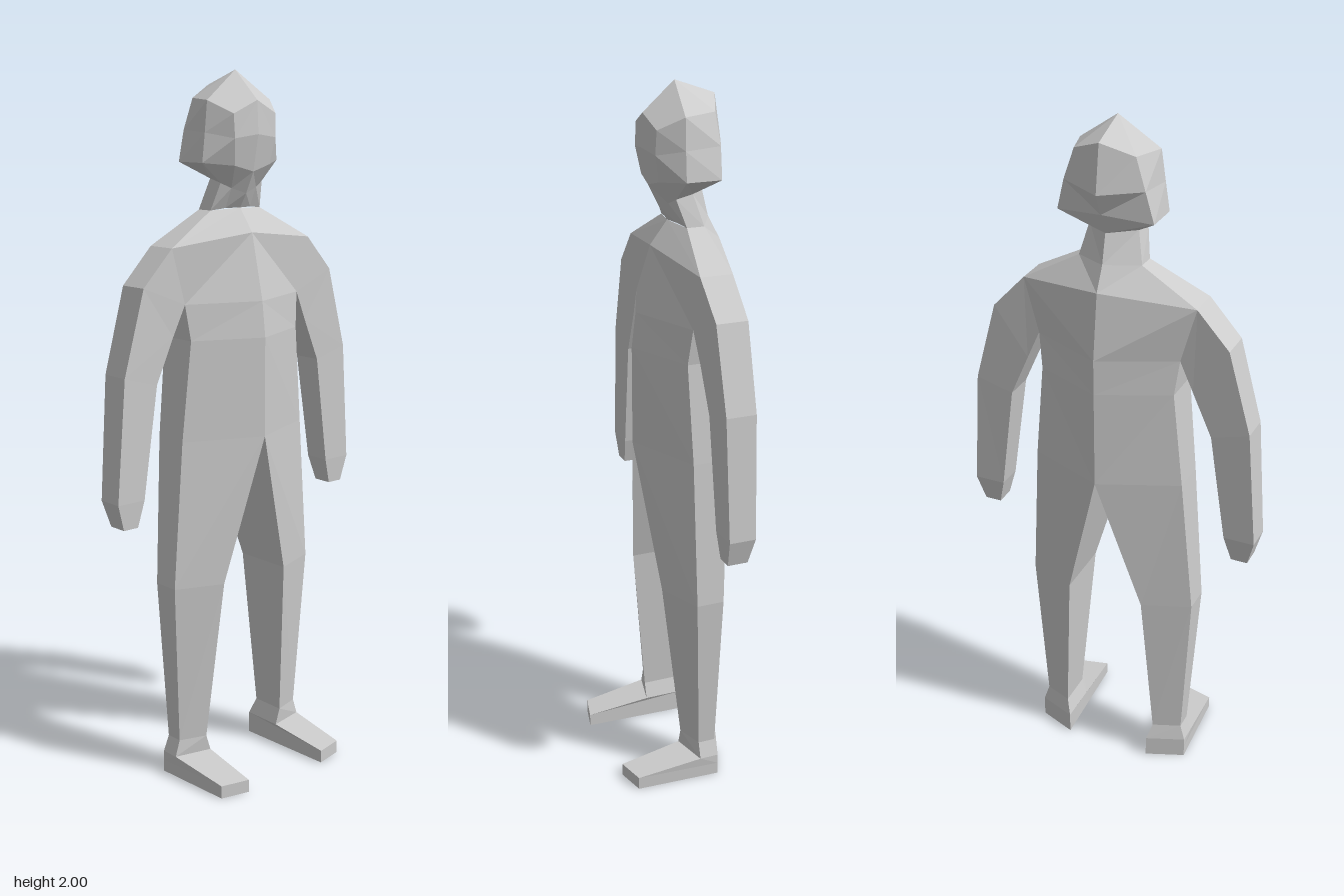
import * as THREE from 'three';

const material = new THREE.MeshStandardMaterial({ color: 0xcccccc, flatShading: true });

// Skins rings of [x, y, z] from top to bottom. side = -1 mirrors the part across x.
// Open rings run from the front centre line round +x to the back centre line.
function skin(name, rings, { side = 1, closed = false, cap = false, skip = () => false } = {}) {
  const pos = [];
  const same = (p, q) => p.every((v, k) => Math.abs(v - q[k]) < 1e-6);
  const tri = (a, b, c) => {
    if (same(a, b) || same(b, c) || same(a, c)) return;
    for (const p of side > 0 ? [a, b, c] : [a, c, b]) pos.push(p[0] * side, p[1], p[2]);
  };
  for (let r = 0; r < rings.length - 1; r++) {
    const a = rings[r], b = rings[r + 1], n = a.length;
    for (let i = 0; i < (closed ? n : n - 1); i++) {
      if (skip(r, i)) continue;
      const j = (i + 1) % n;
      tri(a[i], b[i], b[j]);
      tri(a[i], b[j], a[j]);
    }
  }
  if (cap) {
    const e = rings[rings.length - 1];
    for (let i = 1; i < e.length - 1; i++) tri(e[0], e[i + 1], e[i]);
  }
  const geometry = new THREE.BufferGeometry();
  geometry.setAttribute('position', new THREE.Float32BufferAttribute(pos, 3));
  geometry.computeVertexNormals();
  const mesh = new THREE.Mesh(geometry, material);
  mesh.name = name;
  return mesh;
}

// Four-point section: inner front, outer front, outer back, inner back
const section = (xi, yi, xo, yo, zif, zof, zob, zib) =>
  [[xi, yi, zif], [xo, yo, zof], [xo, yo, zob], [xi, yi, zib]];

const neckBase = [[0, 1.63, -0.01], [0.045, 1.63, -0.02], [0.09, 1.625, -0.03], [0.09, 1.625, -0.08], [0, 1.63, -0.13]];
const neckTop = [[0, 1.67, 0.015], [0.045, 1.685, 0.005], [0.075, 1.7, -0.005], [0.07, 1.71, -0.055], [0, 1.71, -0.11]];

// Head: crown point, brow, cheek and jaw rings
const head = [
  Array.from({ length: 5 }, () => [0, 2, -0.03]),
  [[0, 1.92, 0.06], [0.075, 1.885, 0.05], [0.113, 1.92, -0.015], [0.085, 1.925, -0.11], [0, 1.96, -0.145]],
  [[0, 1.83, 0.065], [0.073, 1.82, 0.053], [0.124, 1.835, -0.012], [0.113, 1.84, -0.115], [0, 1.83, -0.165]],
  [[0, 1.73, 0.045], [0.062, 1.747, 0.04], [0.135, 1.755, -0.01], [0.135, 1.755, -0.11], [0, 1.77, -0.138]],
  neckTop,
];

const shoulder = section(0, 1.565, 0.25, 1.535, 0.04, 0, -0.092, -0.165);
const chest = section(0, 1.38, 0.207, 1.38, 0.083, 0, -0.095, -0.19);
const hip = section(0, 1, 0.222, 1, 0.095, 0.002, -0.1, -0.19);

const torso = [
  section(0, 1.63, 0.09, 1.625, -0.01, -0.03, -0.08, -0.13),
  shoulder,
  chest,
  section(0, 1.28, 0.195, 1.28, 0.095, 0.01, -0.105, -0.19),
  hip,
];

// Arm starts on the open side of the torso between shoulder and armpit
const arm = [
  section(0.207, 1.38, 0.25, 1.535, 0, 0, -0.092, -0.095),
  section(0.245, 1.295, 0.343, 1.435, -0.005, -0.005, -0.095, -0.095),
  section(0.3, 1.17, 0.408, 1.2, -0.008, -0.008, -0.094, -0.094),
  section(0.345, 0.855, 0.434, 0.855, -0.012, -0.012, -0.088, -0.088),
  section(0.365, 0.78, 0.413, 0.78, -0.017, -0.017, -0.075, -0.075),
];

const ankle = section(0.145, 0.11, 0.225, 0.11, 0.005, -0.02, -0.07, -0.1);
const leg = [hip, section(0.115, 0.58, 0.253, 0.58, 0.052, 0, -0.08, -0.13), ankle];

// Foot: ankle flare, toe top, sole
const toe = (y, yHeel) => [[0.143, y, 0.19], [0.228, y, 0.17], [0.24, yHeel, -0.075], [0.13, yHeel, -0.117]];
const foot = [
  ankle,
  section(0.13, 0.063, 0.24, 0.063, 0.005, -0.02, -0.075, -0.117),
  toe(0.037, 0.035),
  toe(0, 0),
];

export function createModel() {
  const model = new THREE.Group();
  model.name = 'figure';
  for (const [label, side] of [['left', 1], ['right', -1]]) {
    const half = new THREE.Group();
    half.name = label + 'Half';
    half.add(
      skin(label + 'Head', head, { side }),
      skin(label + 'Neck', [neckTop, neckBase], { side }),
      skin(label + 'Torso', torso, { side, skip: (r, i) => r === 1 && i === 1 }),
      skin(label + 'Arm', arm, { side, closed: true, cap: true }),
      skin(label + 'Leg', leg, { side, closed: true }),
      skin(label + 'Foot', foot, { side, closed: true, cap: true }),
    );
    model.add(half);
  }
  return model;
}
